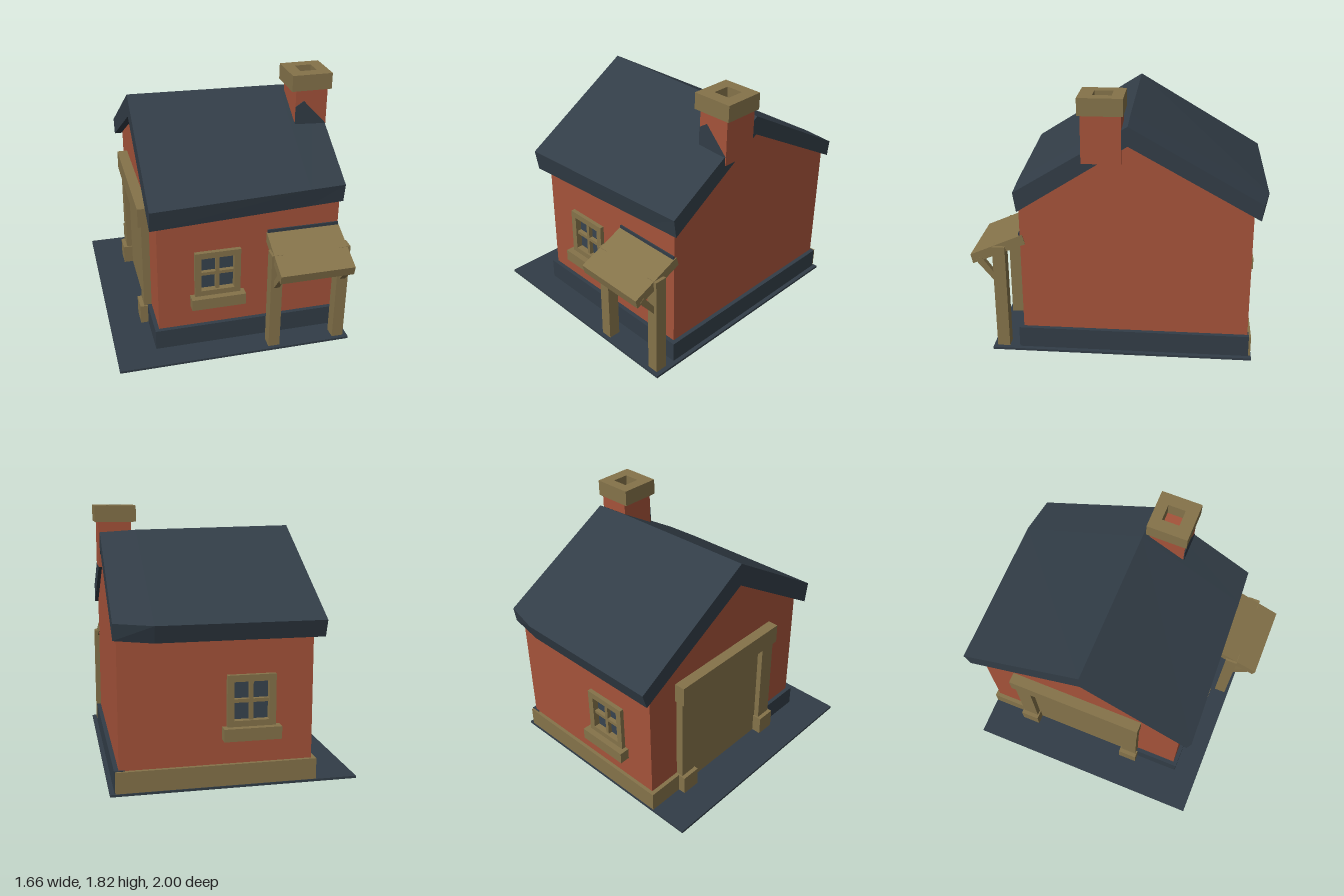
import * as THREE from 'three';

const mat = (name, color, side = THREE.FrontSide) => {
  const m = new THREE.MeshStandardMaterial({ color, side });
  m.name = name;
  return m;
};

export function createModel() {
  const model = new THREE.Group();
  model.name = 'cottage';
  const brick = mat('brick red', 0xa5533a);
  const slate = mat('slate blue', 0x323d47);
  const wood = mat('wood tan', 0x85734a);
  const glass = mat('window glass', 0x38444f, THREE.DoubleSide);

  const add = (name, geo, material, parent = model) => {
    const mesh = new THREE.Mesh(geo, material);
    mesh.name = name;
    parent.add(mesh);
    return mesh;
  };
  // Box given by its extents
  const box = (name, material, [x0, x1], [y0, y1], [z0, z1], parent = model) => {
    const g = new THREE.BoxGeometry(x1 - x0, y1 - y0, z1 - z0);
    g.translate((x0 + x1) / 2, (y0 + y1) / 2, (z0 + z1) / 2);
    return add(name, g, material, parent);
  };
  const shapeOf = (pts) => new THREE.Shape(pts.map(([a, b]) => new THREE.Vector2(a, b)));
  const rect = (a0, a1, b0, b1) => shapeOf([[a0, b0], [a1, b0], [a1, b1], [a0, b1]]);
  const withHole = (outer, inner) => {
    outer.holes.push(inner);
    return outer;
  };
  const extrude = (shape, depth) => new THREE.ExtrudeGeometry(shape, { depth, bevelEnabled: false });
  // Side profile [z, y] swept from x0 to x1
  const sweepX = (shape, x0, x1) => extrude(shape, x1 - x0).rotateY(-Math.PI / 2).translate(x1, 0, 0);
  // Plan outline [x, -z] raised from y0 to y1
  const raise = (shape, y0, y1) => extrude(shape, y1 - y0).rotateX(-Math.PI / 2).translate(0, y0, 0);

  // Ground slab, open under the house
  add('ground', raise(withHole(rect(-0.835, 0.83, -0.87, 0.92), rect(-0.48, 0.73, -0.61, 0.85)), 0, 0.016), slate);

  // Plinth: slate at front and right, timber at the back and rear left
  box('frontPlinth', slate, [-0.55, 0.8], [0.01, 0.165], [0.615, 0.685]);
  box('rightPlinth', slate, [0.73, 0.8], [0.01, 0.165], [-0.9, 0.62]);
  box('leftFrontPlinth', slate, [-0.55, -0.49], [0.01, 0.165], [0.34, 0.62]);
  box('backPlinth', wood, [-0.55, 0.795], [0.01, 0.16], [-0.915, -0.85]);
  box('leftBackPlinth', wood, [-0.55, -0.49], [0.01, 0.16], [-0.86, -0.64]);

  // Gable walls
  const gable = [[0.655, 0.01], [0.655, 1.07], [-0.07, 1.54], [-0.89, 1.07], [-0.89, 0.01]];
  add('rightGableWall', sweepX(shapeOf(gable), 0.73, 0.77), brick);
  add('leftGableWall', sweepX(shapeOf(gable), -0.52, -0.48), brick);

  // Long walls with window openings
  const longWall = () => withHole(rect(-0.5, 0.75, 0.01, 1.07), rect(-0.22, 0.02, 0.45, 0.72));
  add('frontWall', extrude(longWall(), 0.04).translate(0, 0, 0.615), brick);
  add('backWall', extrude(longWall(), 0.04).translate(0, 0, -0.89), brick);

  // Window built facing +z with the wall face at z = 0
  const addWindow = (name, z, turned) => {
    const w = new THREE.Group();
    w.name = name;
    const frame = withHole(rect(-0.163, 0.163, 0.4, 0.76), rect(-0.118, 0.118, 0.455, 0.715));
    add('windowFrame', extrude(frame, 0.09).translate(0, 0, -0.06), wood, w);
    box('windowSill', wood, [-0.193, 0.193], [0.33, 0.415], [-0.06, 0.073], w);
    box('verticalBar', wood, [-0.013, 0.013], [0.45, 0.72], [-0.025, 0.015], w);
    box('horizontalBar', wood, [-0.12, 0.12], [0.573, 0.597], [-0.025, 0.015], w);
    add('windowPane', new THREE.PlaneGeometry(0.24, 0.27).translate(0, 0.585, -0.015), glass, w);
    w.position.set(-0.1, 0, z);
    if (turned) w.rotation.y = Math.PI;
    model.add(w);
  };
  addWindow('frontWindow', 0.655, false);
  addWindow('backWindow', -0.89, true);

  // Side door with heavy timber surround
  box('sideDoor', wood, [-0.535, -0.47], [0.016, 0.85], [-0.53, 0.24]);
  box('doorLintel', wood, [-0.598, -0.5], [0.83, 0.975], [-0.65, 0.355]);
  for (const z of [-0.58, 0.285]) {
    box('doorPost', wood, [-0.575, -0.47], [0.016, 0.84], [z - 0.06, z + 0.06]);
    box('doorPostFoot', wood, [-0.605, -0.5], [0.012, 0.16], [z - 0.07, z + 0.07]);
  }

  // Sagging roof lofted through three side profiles [z, y]
  const sections = [
    [-0.575, [[0.745, 1.15], [-0.07, 1.665], [-1, 1.115], [-0.965, 1], [-0.07, 1.5], [0.72, 1]]],
    [0.54, [[0.7, 1.165], [-0.07, 1.645], [-1, 1.115], [-0.965, 1], [-0.07, 1.5], [0.675, 1.025]]],
    [0.795, [[0.685, 1.165], [-0.07, 1.63], [-0.95, 1.13], [-0.935, 1.02], [-0.07, 1.5], [0.665, 1.03]]],
  ];
  const pos = [];
  const corner = (s, k) => [sections[s][0], sections[s][1][k % 6][1], sections[s][1][k % 6][0]];
  const quad = (a, b, c, d) => [a, b, c, a, c, d].forEach((p) => pos.push(...p));
  for (let s = 0; s < 2; s++) {
    for (let k = 0; k < 6; k++) quad(corner(s, k), corner(s + 1, k), corner(s + 1, k + 1), corner(s, k + 1));
  }
  for (const q of [[0, 1, 4, 5], [1, 2, 3, 4]]) {
    quad(...q.map((k) => corner(0, k)));
    quad(...[...q].reverse().map((k) => corner(2, k)));
  }
  const roof = new THREE.BufferGeometry();
  roof.setAttribute('position', new THREE.Float32BufferAttribute(pos, 3));
  roof.computeVertexNormals();
  add('roof', roof, slate);

  // Chimney with hollow cap and slate flashing
  box('chimneyStack', brick, [0.57, 0.802], [1.38, 1.71], [-0.03, 0.23]);
  const cap = withHole(rect(0.535, 0.825, -0.247, 0.045), rect(0.62, 0.74, -0.157, -0.033));
  add('chimneyCap', raise(cap, 1.7, 1.815), wood);
  add('chimneyFlashing', extrude(shapeOf([[0.57, 1.44], [0.8, 1.44], [0.63, 1.62], [0.57, 1.58]]), 0.006)
    .translate(0, 0, 0.23), slate);

  // Front porch canopy
  const canopy = [[0.985, 0.635], [1, 0.7], [0.64, 0.857], [0.62, 0.79]];
  add('porchRoof', sweepX(shapeOf(canopy), 0.25, 0.775), wood);
  box('porchFlashing', slate, [0.255, 0.77], [0.82, 0.87], [0.65, 0.664]);
  const brace = [[0.835, 0.5], [0.835, 0.56], [0.93, 0.69], [0.965, 0.66]];
  for (const x of [0.275, 0.757]) {
    box('porchPost', wood, [x - 0.041, x + 0.041], [0.012, 0.77], [0.757, 0.843]);
    add('porchBrace', sweepX(shapeOf(brace), x - 0.02, x + 0.02), wood);
  }
  return model;
}
